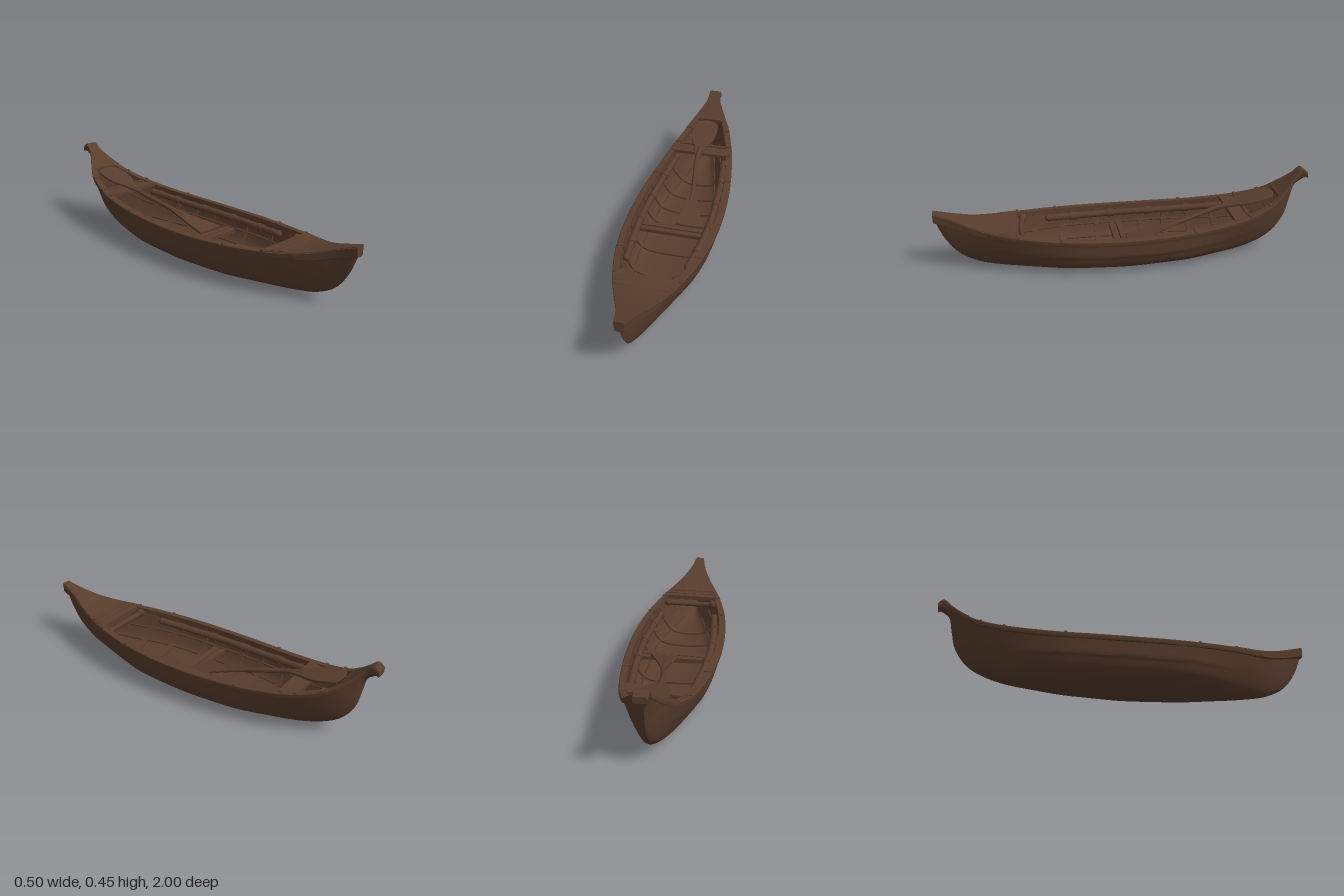
import * as THREE from 'three';
import { toCreasedNormals } from 'three/addons/utils/BufferGeometryUtils.js';

const V = (x, y, z) => new THREE.Vector3(x, y, z);
const { smoothstep } = THREE.MathUtils;

// Stations from stern to bow: sheer z, half width, sheer height, keel z, keel height
const stations = [
  [-1, .033, .433, -1, .41], [-.972, .034, .452, -.965, .392], [-.93, .04, .418, -.938, .365],
  [-.88, .072, .37, -.918, .28], [-.8, .122, .31, -.89, .18], [-.7, .157, .273, -.82, .09],
  [-.6, .185, .25, -.68, .03], [-.4, .22, .226, -.42, .01], [-.2, .242, .217, -.2, .005],
  [0, .25, .214, 0, 0], [.2, .243, .217, .2, .005], [.4, .217, .224, .42, .009],
  [.6, .167, .237, .66, .016], [.7, .13, .247, .78, .036], [.8, .088, .267, .88, .09],
  [.9, .048, .301, .95, .18], [1, .025, .333, .99, .275],
];
const sheer = new THREE.CatmullRomCurve3(stations.map(s => V(s[1], s[2], s[0])));
const keel = new THREE.CatmullRomCurve3(stations.map(s => V(0, s[4], s[3])));

// Half cross-section: fraction of half width, fraction of depth
const half = new THREE.CatmullRomCurve3([[0, 0], [.35, .014], [.57, .06], [.7, .14], [.81, .28], [.885, .48],
  [.905, .52], [.94, .8], [.97, 1]].map(p => V(p[0], p[1], 0))).getPoints(24);
const section = [...half.slice(1).reverse().map(p => V(-p.x, p.y, 0)), ...half];

// Curve parameter at which the sheer reaches z
function tAt(z) {
  let a = 0, b = 1;
  for (let i = 0; i < 30; i++) {
    const m = (a + b) / 2;
    if (sheer.getPoint(m).z < z) a = m; else b = m;
  }
  return (a + b) / 2;
}
const sheerAt = z => sheer.getPoint(tAt(z));
const steps = (a, b, n) => Array.from({ length: n + 1 }, (_, i) => a + (b - a) * i / n);

// Point on the hull skin, moved inward by inset; the section turns to a V toward bow and stern
function skin(t, p, inset = 0) {
  const s = sheer.getPoint(t), k = keel.getPoint(t);
  const e = smoothstep(Math.abs(s.z), .25, .88) * smoothstep(s.z, -.97, -.9);
  const u = Math.abs(p.x) * (1 - e) + .97 * Math.pow(p.y, .85) * e;
  const low = k.y + inset;
  return V(Math.sign(p.x) * Math.max(0, s.x - inset) * u, low + Math.max(0, s.y - .004 - low) * p.y,
    k.z + (s.z - k.z) * p.y);
}

// Surface through a row of cross-sections
function loft(rings, { closed = false, caps = false, flip = false, crease = 0 } = {}) {
  const n = rings[0].length, idx = [];
  const tri = (a, b, c) => flip ? idx.push(a, c, b) : idx.push(a, b, c);
  for (let i = 0; i < rings.length - 1; i++) {
    for (let j = 0; j < (closed ? n : n - 1); j++) {
      const a = i * n + j, b = i * n + (j + 1) % n;
      tri(a, b, a + n);
      tri(b, b + n, a + n);
    }
  }
  if (caps) {
    const l = (rings.length - 1) * n;
    for (let j = 1; j < n - 1; j++) {
      tri(0, j + 1, j);
      tri(l, l + j, l + j + 1);
    }
  }
  const g = new THREE.BufferGeometry().setFromPoints(rings.flat());
  g.setIndex(idx);
  g.computeVertexNormals();
  return crease ? toCreasedNormals(g, crease) : g;
}

export function createModel() {
  const wood = new THREE.MeshStandardMaterial({ color: 0x583d2d, side: THREE.DoubleSide });
  wood.name = 'dark brown wood';
  const model = new THREE.Group();
  model.name = 'canoe';
  const add = (name, geo, x = 0, y = 0, z = 0) => {
    const m = new THREE.Mesh(geo, wood);
    m.name = name;
    m.position.set(x, y, z);
    model.add(m);
    return m;
  };

  // Outer and inner hull skins
  add('outerHull', loft(steps(0, 1, 110).map(t => section.map(p => skin(t, p))), { caps: true, crease: .7 }));
  add('innerHull', loft(steps(tAt(-.88), tAt(.85), 70).map(t => section.map(p => skin(t, p, .018))), { flip: true }));

  // Gunwale rails, deeper toward the bow
  for (const side of [1, -1]) {
    const rings = steps(0, 1, 110).map(t => {
      const s = sheer.getPoint(t);
      const bow = smoothstep(s.z, .5, 1);
      const h = .028 + .026 * bow;
      const inner = Math.max(0, s.x - .036);
      return [[s.x - .003 - .009 * bow, s.y - h], [s.x - .004 * bow, s.y - h + .006], [s.x, s.y - .004],
        [s.x - .004, s.y], [inner, s.y + .001], [inner, s.y - h]].map(q => V(side * q[0], q[1], s.z));
    });
    add(side > 0 ? 'leftGunwale' : 'rightGunwale', loft(rings, { closed: true, caps: true, flip: side < 0, crease: .6 }));
  }

  // Bow and stern decks, slightly crowned
  const deck = (name, z0, z1) => add(name, loft(steps(tAt(z0), tAt(z1), 24).map(t => {
    const s = sheer.getPoint(t);
    const top = steps(-1, 1, 10).map(u => V(-u * (s.x - .003), s.y + .002 + .02 * s.x * (1 - u * u), s.z));
    return [...top, ...top.map(p => V(p.x, p.y - .018, p.z)).reverse()];
  }), { closed: true, caps: true, crease: .6 }));
  deck('bowDeck', .58, 1);
  deck('sternDeck', -1, -.83);

  // Ribs bent along the inner hull
  for (const z of [-.76, -.69, -.5, -.38, -.25, -.12, .13, .32, .46]) {
    const a = tAt(z - .014), b = tAt(z + .014);
    add('rib', loft(section.map(p => [skin(a, p, .016), skin(b, p, .016), skin(b, p, .027), skin(a, p, .027)]),
      { closed: true, caps: true, crease: .6 }));
  }

  // Long stringers inside the hull
  for (const side of [1, -1]) {
    for (const k of [9, 15]) {
      const pts = steps(tAt(-.72), tAt(.6), 24).map(t => {
        const p = skin(t, half[k], .022);
        return V(side * p.x, p.y, p.z);
      });
      add('stringer', new THREE.TubeGeometry(new THREE.CatmullRomCurve3(pts), 48, .005, 6));
    }
  }

  // Crossbeams and seat boards
  const beam = (name, z, y, depth, height, trim) =>
    add(name, new THREE.BoxGeometry(2 * (sheerAt(z).x - trim), height, depth), 0, y, z);
  beam('middleThwart', .005, .102, .03, .02, .034);
  beam('middleThwart', .045, .102, .03, .02, .034);
  beam('sternSeat', -.605, .241, .085, .018, .01);
  beam('sternSeatEdge', -.65, .25, .018, .016, .006);
  beam('bowDeckBeam', .585, .229, .03, .022, .014);
  beam('bowDeckBoard', .62, .241, .03, .006, .012);
  beam('bowDeckBoard', .655, .245, .025, .006, .012);

  // Rolled bundle under the front deck edge, sagging in the middle
  const sag = new THREE.CatmullRomCurve3([V(-.14, .208, .54), V(-.07, .2, .552), V(.07, .2, .552), V(.14, .208, .54)]);
  add('rolledBundle', new THREE.TubeGeometry(sag, 24, .015, 10));
  for (const x of [-.135, .135]) {
    add('bundleEnd', new THREE.SphereGeometry(.022, 14, 10), x, .208, .542);
  }

  // Poles stored along both sides, with bindings
  for (const side of [1, -1]) {
    const path = new THREE.CatmullRomCurve3([[.145, .2, -.56], [.172, .185, -.3], [.186, .18, 0], [.178, .18, .2],
      [.158, .185, .4]].map(p => V(side * p[0], p[1], p[2])));
    add('sidePole', new THREE.TubeGeometry(path, 40, .018, 10));
    for (const u of [0, 1]) {
      const p = path.getPointAt(u);
      add('poleEnd', new THREE.SphereGeometry(.02, 12, 8), p.x, p.y, p.z);
    }
    for (const u of [.2, .42, .64, .86]) {
      const p = path.getPointAt(u);
      const band = add('poleBinding', new THREE.CylinderGeometry(.022, .022, .035, 12), p.x, p.y, p.z);
      band.quaternion.setFromUnitVectors(V(0, 1, 0), path.getTangentAt(u));
    }
    // Lashings over the gunwale
    for (const z of [-.77, -.65, -.34, .36, .57]) {
      const s = sheerAt(z);
      add('lashing', new THREE.BoxGeometry(.038, .016, .014), side * (s.x - .021), s.y - .003, z);
    }
  }

  // Double-ended paddle lying on the stern seat and middle thwart
  const height = z => .122 - .246 * z;
  const blade = (name, points) => {
    const outline = new THREE.SplineCurve(points.map(p => new THREE.Vector2(p[0], -p[1])));
    const g = new THREE.ExtrudeGeometry(new THREE.Shape(outline.getPoints(48)),
      { depth: .008, bevelEnabled: true, bevelSize: .003, bevelThickness: .003, bevelSegments: 2 });
    g.rotateX(-Math.PI / 2);
    const pos = g.attributes.position;
    for (let i = 0; i < pos.count; i++) pos.setY(i, pos.getY(i) + height(pos.getZ(i)) - .004);
    g.computeVertexNormals();
    add(name, g);
  };
  blade('upperPaddleBlade', [[-.018, -.52], [-.04, -.59], [-.075, -.67], [-.08, -.75], [-.065, -.8], [-.01, -.815],
    [.045, -.8], [.06, -.75], [.055, -.67], [.022, -.59], [.004, -.52]]);
  blade('lowerPaddleBlade', [[.018, -.29], [.01, -.2], [0, -.1], [-.004, -.02], [.004, -.01], [.07, -.008], [.13, -.01],
    [.135, -.02], [.1, -.1], [.062, -.2], [.036, -.29]]);
  const shaft = [[-.008, -.6], [-.006, -.5], [.004, -.42], [.018, -.34], [.028, -.26], [.035, -.18]];
  add('paddleShaft', new THREE.TubeGeometry(
    new THREE.CatmullRomCurve3(shaft.map(p => V(p[0], height(p[1]), p[1]))), 30, .013, 10));

  return model;
}
